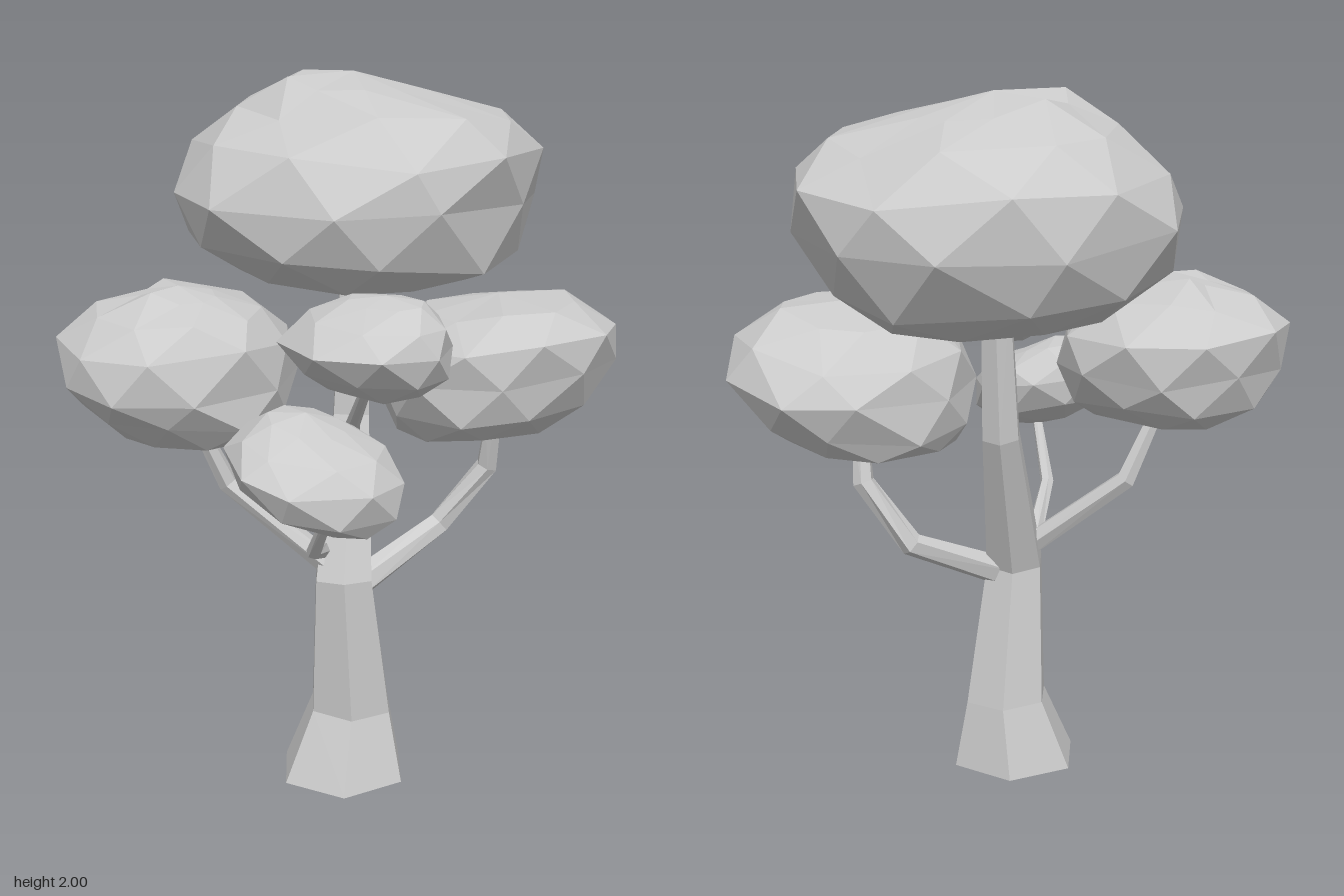
import * as THREE from 'three';

const material = new THREE.MeshStandardMaterial({
  color: 0xcccccc, flatShading: true, side: THREE.DoubleSide,
});

// Faceted skin over a stack of rings (equal corner counts); a ring may shrink to a point
function skin(name, rings) {
  const positions = [];
  const face = (a, b, c) => {
    if (a.equals(b) || b.equals(c) || c.equals(a)) return;
    for (const v of [a, b, c]) positions.push(v.x, v.y, v.z);
  };
  for (let i = 0; i < rings.length - 1; i++) {
    const low = rings[i], high = rings[i + 1], n = low.length;
    for (let j = 0; j < n; j++) {
      const k = (j + 1) % n;
      // alternate the diagonal with the half-step turn of the clump rings
      if (i % 2 === 0) {
        face(low[j], high[k], low[k]);
        face(low[j], high[j], high[k]);
      } else {
        face(low[j], high[j], low[k]);
        face(low[k], high[j], high[k]);
      }
    }
  }
  const g = new THREE.BufferGeometry();
  g.setAttribute('position', new THREE.Float32BufferAttribute(positions, 3));
  g.computeVertexNormals();
  const mesh = new THREE.Mesh(g, material);
  mesh.name = name;
  return mesh;
}

// Tapered six-sided limb swept along points given as [x, y, z, radius]
function limb(name, points) {
  const sides = 6;
  const centres = points.map(p => new THREE.Vector3(p[0], p[1], p[2]));
  const rings = centres.map((c, i) => {
    const t = new THREE.Vector3();
    if (i > 0) t.add(c.clone().sub(centres[i - 1]).normalize());
    if (i < centres.length - 1) t.add(centres[i + 1].clone().sub(c).normalize());
    if (c.y === 0) t.set(0, 1, 0); // flat on the ground
    t.normalize();
    const u = new THREE.Vector3(1, 0, 0);
    u.addScaledVector(t, -u.dot(t)).normalize();
    const w = new THREE.Vector3().crossVectors(u, t);
    return Array.from({ length: sides }, (_, j) => {
      const a = (j / sides) * Math.PI * 2 - 0.17;
      return c.clone()
        .addScaledVector(u, Math.cos(a) * points[i][3])
        .addScaledVector(w, Math.sin(a) * points[i][3]);
    });
  });
  return skin(name, rings);
}

// Small seeded generator, -1..1
function seeded(seed) {
  let s = seed * 7919 + 17;
  return () => {
    s = (s * 16807) % 2147483647;
    return (s / 2147483647) * 2 - 1;
  };
}

// Leaf clump from levels [y, xMin, xMax, zMin, zMax], closed by points at yBottom and yTop
function clump(name, seed, sides, yBottom, levels, yTop, tiltX = 0, tiltZ = 0) {
  const rand = seeded(seed);
  const rings = levels.map(([y, x0, x1, z0, z1], i) => {
    const cx = (x0 + x1) / 2, cz = (z0 + z1) / 2;
    return Array.from({ length: sides }, (_, j) => {
      const a = ((j + (i % 2) / 2 + 0.12 * rand()) / sides) * Math.PI * 2 + seed;
      const r = 1.015 + 0.02 * rand();
      const dx = Math.cos(a) * r * (x1 - x0) / 2;
      const dz = Math.sin(a) * r * (z1 - z0) / 2;
      const dy = tiltX * dx + tiltZ * dz + 0.035 * rand() * (yTop - yBottom);
      return new THREE.Vector3(cx + dx, THREE.MathUtils.clamp(y + dy, yBottom, yTop), cz + dz);
    });
  });
  const point = ([, x0, x1, z0, z1], y) =>
    Array(sides).fill(new THREE.Vector3((x0 + x1) / 2, y, (z0 + z1) / 2));
  return skin(name, [
    point(levels[0], yBottom), ...rings, point(levels[levels.length - 1], yTop),
  ]);
}

export function createModel() {
  const tree = new THREE.Group();
  tree.name = 'tree';

  // Trunk flares at the ground and leans back above the fork
  tree.add(limb('trunk', [
    [0.04, 0, 0.07, 0.193],
    [0.045, 0.2, 0.04, 0.127],
    [0.055, 0.61, 0.085, 0.09],
    [-0.045, 1.04, -0.075, 0.058],
    [-0.06, 1.46, -0.11, 0.045],
  ]));

  // Branches, each kinked and ending inside its clump
  tree.add(limb('frontRightBranch', [
    [0.03, 0.65, 0.11, 0.035],
    [-0.23, 0.88, 0.25, 0.03],
    [-0.28, 1.1, 0.34, 0.02],
  ]));
  tree.add(limb('frontLeftLowerBranch', [
    [0, 0.69, 0.11, 0.025],
    [0.14, 0.78, 0.32, 0.02],
    [0.28, 0.96, 0.42, 0.014],
  ]));
  tree.add(limb('frontLeftUpperBranch', [
    [-0.03, 0.99, -0.06, 0.025],
    [0.1, 1.08, 0.1, 0.02],
    [0.27, 1.26, 0.25, 0.014],
  ]));
  tree.add(limb('backBranch', [
    [0.07, 0.58, 0.05, 0.045],
    [0.16, 0.71, -0.23, 0.035],
    [0.27, 0.89, -0.31, 0.032],
    [0.3, 1.03, -0.29, 0.025],
  ]));

  // Foliage
  tree.add(clump('crown', 1, 10, 1.4, [
    [1.43, -0.42, 0.22, -0.5, 0.18],
    [1.51, -0.57, 0.34, -0.63, 0.3],
    [1.66, -0.63, 0.38, -0.71, 0.34],
    [1.79, -0.61, 0.4, -0.7, 0.26],
    [1.89, -0.49, 0.32, -0.57, 0.13],
    [1.97, -0.3, 0.06, -0.4, 0.04],
  ], 2, 0, 0.06));
  tree.add(clump('frontRightClump', 2, 9, 1.05, [
    [1.07, -0.48, -0.06, 0.18, 0.54],
    [1.13, -0.56, 0, 0.08, 0.63],
    [1.22, -0.59, 0.01, 0.03, 0.7],
    [1.33, -0.61, 0, 0.03, 0.7],
    [1.41, -0.5, -0.06, 0.15, 0.61],
    [1.455, -0.38, -0.16, 0.3, 0.48],
  ], 1.47));
  tree.add(clump('backLeftClump', 3, 9, 0.99, [
    [1.03, 0.02, 0.47, -0.54, -0.05],
    [1.1, -0.01, 0.57, -0.62, 0.02],
    [1.2, -0.02, 0.61, -0.69, 0.04],
    [1.3, 0, 0.63, -0.63, 0.02],
    [1.38, 0.1, 0.52, -0.5, -0.08],
  ], 1.41, 0.1, 0));
  tree.add(clump('frontLeftUpperClump', 4, 8, 1.22, [
    [1.24, 0.14, 0.42, 0.12, 0.33],
    [1.29, 0.06, 0.49, 0.06, 0.41],
    [1.37, 0.03, 0.51, 0.05, 0.47],
    [1.44, 0.1, 0.49, 0.09, 0.4],
    [1.485, 0.2, 0.43, 0.17, 0.3],
  ], 1.5));
  tree.add(clump('frontLeftLowerClump', 5, 8, 0.92, [
    [0.95, 0.12, 0.43, 0.32, 0.52],
    [1, 0.03, 0.47, 0.23, 0.62],
    [1.08, 0, 0.47, 0.2, 0.66],
    [1.14, 0.03, 0.42, 0.24, 0.6],
    [1.185, 0.1, 0.3, 0.32, 0.52],
  ], 1.21, -0.15, 0));

  return tree;
}
